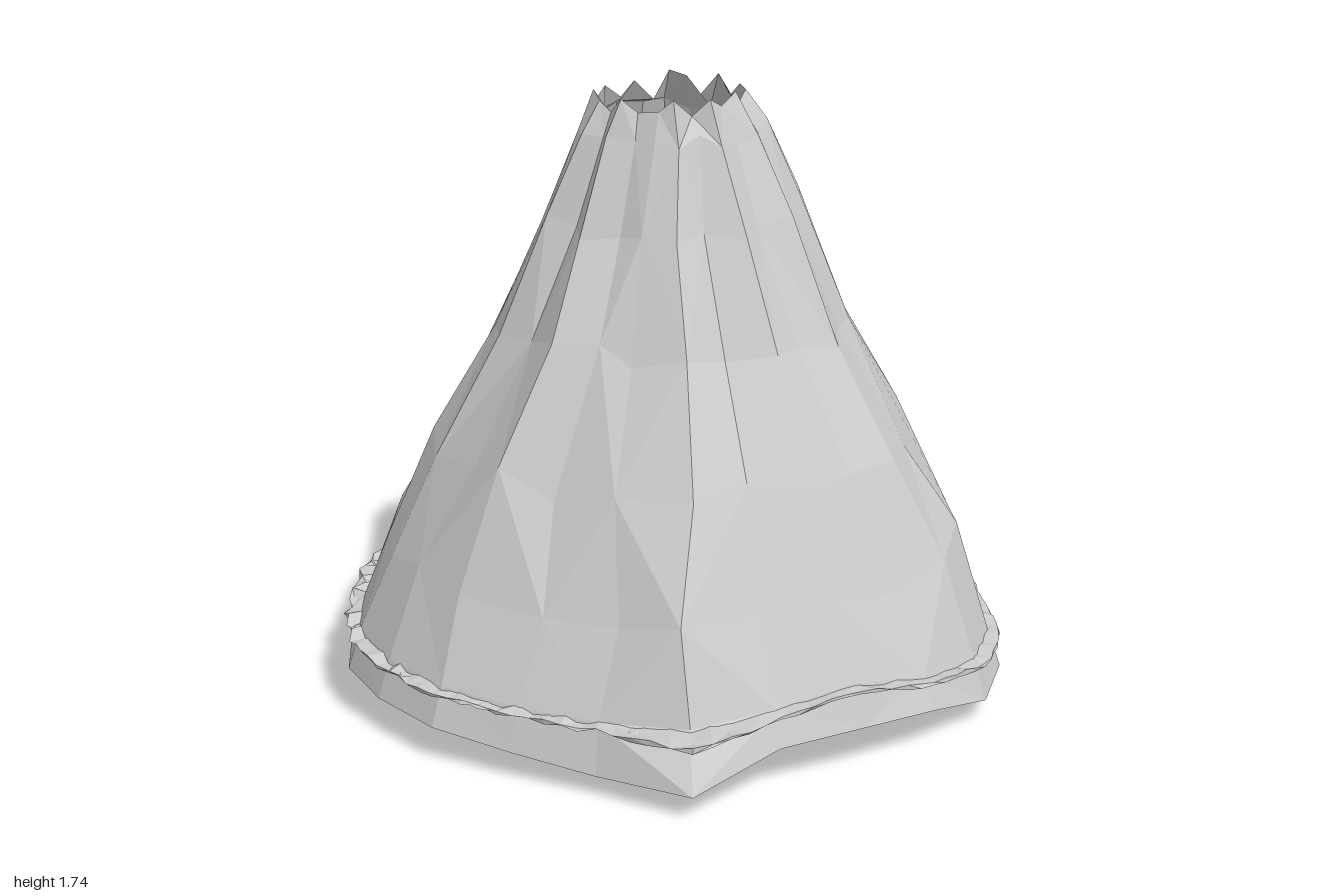
import * as THREE from 'three';

const SIDES = 24;
// Per 15 degrees from +x towards +z: plan radius, skirt bottom height, shore height, gully cut
const PLAN = [.98, .95, .94, .93, .98, 1, .98, .95, .95, 1.1, .97, .95, .98, .98, .98, .95, .96, .97, .99, .98, .97, .95, .96, .96];
const LOW = [.08, .06, .06, .055, .06, .06, .12, .13, .12, .07, .06, .08, .1, .1, .09, .1, .11, .09, .12, .04, .1, .1, 0, .1];
const SHORE = [.21, .19, .17, .16, .16, .17, .2, .24, .21, .2, .19, .19, .2, .2, .2, .2, .2, .2, .22, .22, .19, .16, .12, .18];
const GULLY = [.5, -1, .4, .2, -.6, .5, -.6, .5, -1, .5, -.3, -.9, .5, -1, .5, .3, -.8, .5, -.8, .4, -1.2, .4, .5, -1];

// Seeded noise in -1..1
function noiseMaker(seed) {
  return () => {
    seed = (seed * 16807) % 2147483647;
    return (seed / 2147483647) * 2 - 1;
  };
}

// Interpolated reading of a table around the circle
function around(table, u) {
  const f = (((u % 1) + 1) % 1) * table.length;
  const i = Math.floor(f) % table.length;
  return THREE.MathUtils.lerp(table[i], table[(i + 1) % table.length], f - Math.floor(f));
}

const polar = (r, y, u) => [r * Math.cos(u * Math.PI * 2), y, r * Math.sin(u * Math.PI * 2)];

const ringOf = (n, pointAt) => Array.from({ length: n }, (_, j) => pointAt(j / n, j));

// Skin a list of rings (each a list of points) into a faceted surface
function loft(rings, closed = false) {
  const n = rings[0].length;
  const index = [];
  const last = closed ? rings.length : rings.length - 1;
  for (let i = 0; i < last; i++) {
    for (let j = 0; j < n; j++) {
      const k = (j + 1) % n;
      const next = ((i + 1) % rings.length) * n;
      const a = i * n + j, b = i * n + k, c = next + j, d = next + k;
      if ((i + j) % 2) index.push(a, b, c, b, d, c);
      else index.push(a, b, d, a, d, c);
    }
  }
  const g = new THREE.BufferGeometry();
  g.setAttribute('position', new THREE.Float32BufferAttribute(rings.flat(2), 3));
  g.setIndex(index);
  const flat = g.toNonIndexed();
  flat.computeVertexNormals();
  return flat;
}

// Hollow shell: jagged open rim, fluted slopes and skirt
function mountain() {
  const noise = noiseMaker(4127);
  const rings = [];
  // jagged rim
  rings.push(ringOf(SIDES, (u, j) =>
    polar(.205 + GULLY[j] * .015 + noise() * .012, 1.71 + GULLY[j] * .03 + noise() * .022, u + noise() * .008)));
  // slopes: radius, height, depth of the gullies
  const slopes = [[.262, 1.62, .024], [.362, 1.39, .034], [.505, 1.07, .032], [.695, .74, .02], [.84, .45, .01]];
  slopes.forEach(([r, y, depth]) => {
    const t = Math.pow(r, 3);
    rings.push(ringOf(SIDES, (u, j) => {
      const spread = THREE.MathUtils.lerp(1, PLAN[j] / .97, t);
      // slightly fuller towards the right-hand back
      const lean = .015 * Math.cos((u - .9) * Math.PI * 2);
      return polar(r * spread + GULLY[j] * depth + lean, y + noise() * .04, u + noise() * .006);
    }));
  });
  // foot at the shore, then the skirt below it
  rings.push(ringOf(SIDES, (u, j) => polar(Math.min(PLAN[j], 1.02) * .96, SHORE[j] + .01, u)));
  rings.push(ringOf(SIDES, (u, j) => polar(PLAN[j], LOW[j], u)));
  return loft(rings);
}

// Thin bumpy sheet with a ragged edge and a short collar round the middle hole
function groundSheet() {
  const noise = noiseMaker(977);
  const n = 120;
  const steps = [.1, .16, .24, .33, .42, .51, .6, .69, .78, .87, .95, .995];
  const sheet = (offset) => steps.map((s) => ringOf(n, (u) => {
    // calm along the front, rougher at the sides and back
    const wild = .011 - .006 * Math.sin(u * Math.PI * 2);
    const edge = s > .9 ? wild : .003 * s;
    const y = THREE.MathUtils.lerp(.215, around(SHORE, u), s * s);
    return polar(around(PLAN, u) * s + noise() * edge, y + offset + noise() * edge, u);
  }));
  const collar = [[.085, .17], [.075, .18]].map(([r, y]) => ringOf(n, (u) => polar(r, y, u)));
  return loft([collar[1], ...sheet(.004), ...sheet(-.004).reverse(), collar[0]], true);
}

// Loose rocks filling the hole in the sheet
function ventRocks(material) {
  const group = new THREE.Group();
  const noise = noiseMaker(83);
  for (let i = 0; i < 8; i++) {
    const size = .026 * (1 + noise() * .3);
    const rock = new THREE.Mesh(new THREE.IcosahedronGeometry(size, 0), material);
    rock.position.set(...polar(i === 0 ? 0 : .045, .2 + noise() * .01, i / 7));
    rock.rotation.set(noise() * 3, noise() * 3, 0);
    group.add(rock);
  }
  group.name = 'ventRocks';
  return group;
}

export function createModel() {
  const model = new THREE.Group();
  model.name = 'volcano';
  const material = new THREE.MeshStandardMaterial({ color: 0xcccccc, flatShading: true, side: THREE.DoubleSide });

  const cone = new THREE.Mesh(mountain(), material);
  cone.name = 'mountain';
  const ground = new THREE.Mesh(groundSheet(), material);
  ground.name = 'groundSheet';

  model.add(cone, ground, ventRocks(material));
  return model;
}
